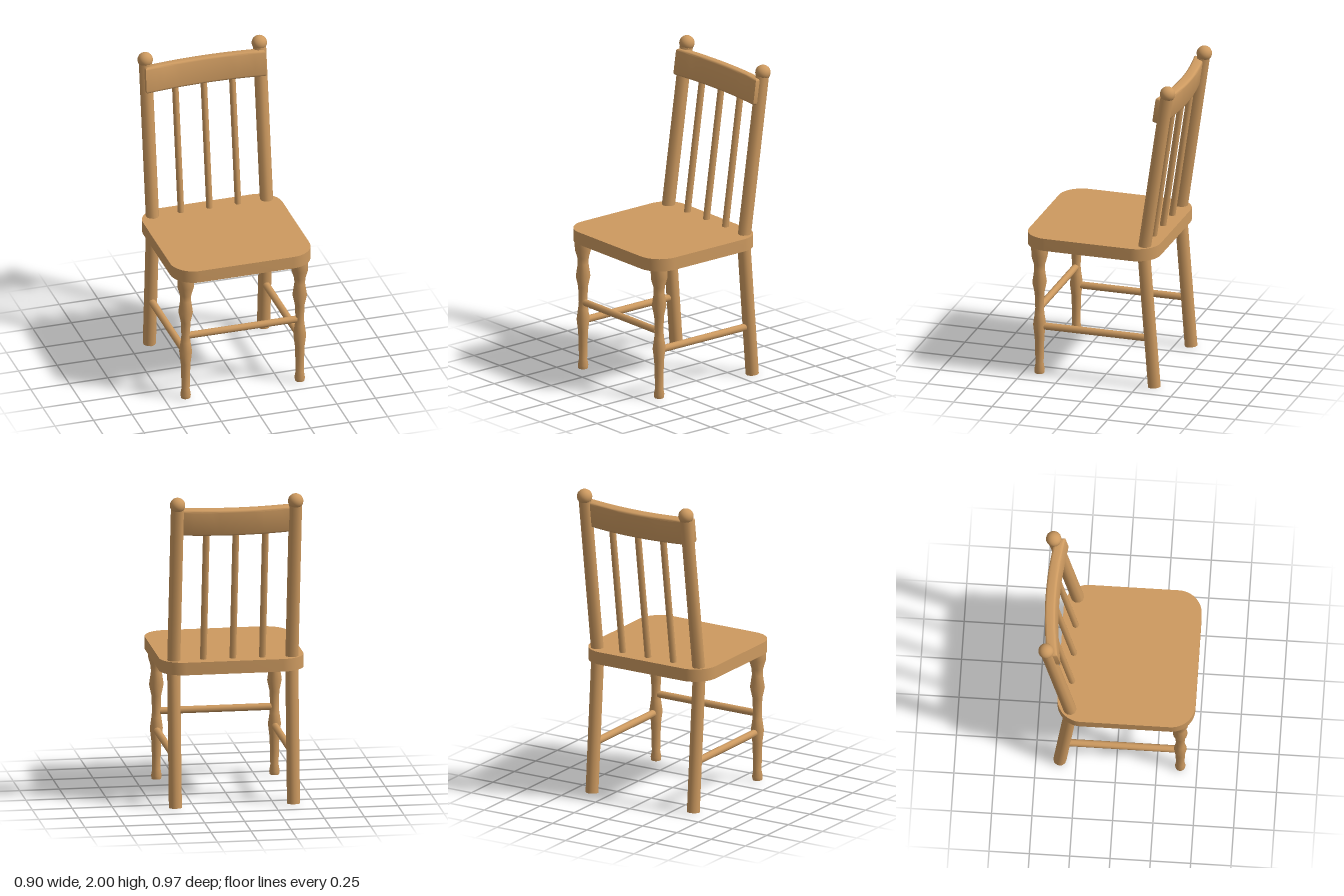
import * as THREE from 'three';
import { toCreasedNormals } from 'three/addons/utils/BufferGeometryUtils.js';

export function createModel() {
  const chair = new THREE.Group();
  chair.name = 'chair';
  const wood = new THREE.MeshStandardMaterial({ color: 0xcd9a60 });
  wood.name = 'wood';

  const add = (name, geometry, x = 0, y = 0, z = 0) => {
    const mesh = new THREE.Mesh(geometry, wood);
    mesh.name = name;
    mesh.position.set(x, y, z);
    chair.add(mesh);
    return mesh;
  };

  // Round rod between two points
  const rod = (name, from, to, radius, sides = 10) => {
    const a = new THREE.Vector3(...from), b = new THREE.Vector3(...to);
    const dir = b.clone().sub(a);
    const mesh = add(name, new THREE.CylinderGeometry(radius, radius, dir.length(), sides));
    mesh.position.copy(a).add(b).multiplyScalar(0.5);
    mesh.quaternion.setFromUnitVectors(new THREE.Vector3(0, 1, 0), dir.normalize());
    return mesh;
  };

  // Seat: rounded slab
  const w = 0.452, back = -0.37, front = 0.485, r = 0.15;
  const plan = new THREE.Shape();
  plan.moveTo(-w + r, -front);
  plan.lineTo(w - r, -front);
  plan.quadraticCurveTo(w - 0.03, -front + 0.03, w, -front + r);
  plan.curves.pop();
  plan.currentPoint.set(w - r, -front);
  plan.absarc(w - r, -front + r, r, -Math.PI / 2, 0);
  plan.absarc(w - r, -back - r, r, 0, Math.PI / 2);
  plan.absarc(-w + r, -back - r, r, Math.PI / 2, Math.PI);
  plan.absarc(-w + r, -front + r, r, Math.PI, Math.PI * 1.5);
  const seat = new THREE.ExtrudeGeometry(plan, { depth: 0.08, bevelEnabled: false, curveSegments: 8 });
  seat.rotateX(-Math.PI / 2);
  add('seat', toCreasedNormals(seat, 0.6), 0, 0.85, 0);

  // Turned front leg profile: radius, height
  const profile = [
    [0, 0.008], [0.03, 0.008], [0.033, 0.03], [0.026, 0.07], [0.028, 0.16],
    [0.031, 0.25], [0.041, 0.33], [0.031, 0.40], [0.027, 0.44], [0.031, 0.54],
    [0.046, 0.61], [0.034, 0.69], [0.036, 0.73], [0.052, 0.785], [0.053, 0.86],
  ].map(([x, y]) => new THREE.Vector2(x, y));

  for (const side of [-1, 1]) {
    const x = 0.37 * side, label = side > 0 ? 'left' : 'right';
    add(label + 'FrontLeg', toCreasedNormals(new THREE.LatheGeometry(profile, 12), 0.8), x, 0, 0.395);
    rod(label + 'BackLeg', [x, 0.004, -0.351], [x, 0.88, -0.283], 0.041);
    rod(label + 'BackPost', [x, 0.88, -0.282], [x, 1.955, -0.436], 0.041);
    add(label + 'Finial', new THREE.SphereGeometry(0.048, 20, 14), x, 1.952, -0.437);
    rod(label + 'Stretcher', [x, 0.32, 0.385], [x, 0.32, -0.32], 0.023);
  }
  rod('frontStretcher', [-0.35, 0.44, 0.395], [0.35, 0.44, 0.395], 0.022);

  // Back spindles
  for (const x of [-0.185, 0, 0.185]) {
    rod('backSpindle', [x, 0.88, -0.281], [x, 1.80, -0.413], 0.021, 8);
  }

  // Top rail: curved strip in plan, extruded upward and leaned back with the posts
  const bevel = 0.014, half = 0.39 - bevel, thick = 0.033 - bevel, steps = 14;
  const bow = (x) => 0.036 * (1 - (x / 0.39) ** 2);
  const outline = [];
  for (let i = 0; i <= steps; i++) {
    const x = -half + (2 * half * i) / steps;
    outline.push(new THREE.Vector2(x, bow(x) - thick));
  }
  for (let i = steps; i >= 0; i--) {
    const x = -half + (2 * half * i) / steps;
    outline.push(new THREE.Vector2(x, bow(x) + thick));
  }
  const height = 0.168;
  const rail = new THREE.ExtrudeGeometry(new THREE.Shape(outline), {
    depth: height - 2 * bevel, bevelThickness: bevel, bevelSize: bevel, bevelSegments: 3,
  });
  rail.translate(0, 0, -height / 2 + bevel);
  rail.rotateX(-Math.PI / 2);
  rail.rotateX(-0.142);
  add('topRail', toCreasedNormals(rail, 0.7), 0, 1.838, -0.386);

  return chair;
}
